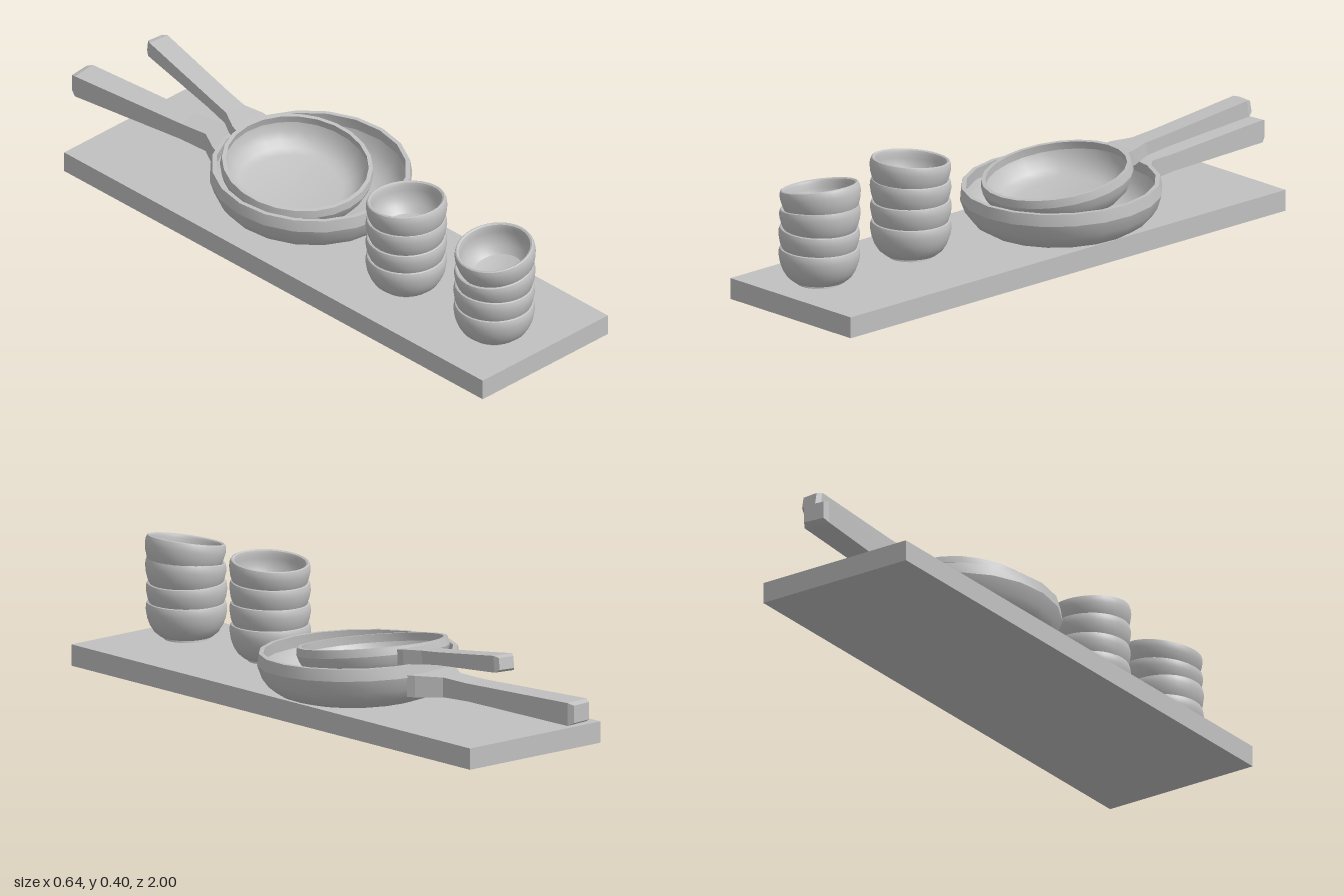
import * as THREE from 'three';
import { toCreasedNormals } from 'three/addons/utils/BufferGeometryUtils.js';

const grey = new THREE.MeshStandardMaterial({ color: 0xc0c0c0 });
grey.name = 'plain grey';

function part(name, geometry, parent) {
  const mesh = new THREE.Mesh(geometry, grey);
  mesh.name = name;
  parent.add(mesh);
  return mesh;
}

// Turned shape from [radius, height] pairs, with sharp edges kept at the rim
function turned(profile, sides) {
  const points = profile.map(([r, y]) => new THREE.Vector2(r, y));
  return toCreasedNormals(new THREE.LatheGeometry(points, sides), 0.45);
}

// Rectangular bar running along -z; sections are [distance, half width, low, high]
function bar(sections) {
  const n = sections.length - 1;
  const box = new THREE.BoxGeometry(1, 1, 1, 1, 1, n);
  const p = box.attributes.position;
  for (let i = 0; i < p.count; i++) {
    const [d, w, low, high] = sections[Math.round((0.5 - p.getZ(i)) * n)];
    p.setXYZ(i, Math.sign(p.getX(i)) * w, p.getY(i) > 0 ? high : low, -d);
  }
  const geometry = box.toNonIndexed();
  geometry.computeVertexNormals();
  return geometry;
}

const BOWL_HEIGHT = 0.116;
const bowlGeometry = turned([
  [0, 0], [0.07, 0], [0.069, 0.006], [0.083, 0.01], [0.1, 0.024], [0.113, 0.045],
  [0.121, 0.067], [0.125, 0.09], [0.124, 0.105], [0.121, 0.114], [0.117, BOWL_HEIGHT],
  [0.111, 0.113], [0.108, 0.104], [0.109, 0.088], [0.105, 0.067], [0.096, 0.043],
  [0.078, 0.023], [0.05, 0.014], [0, 0.012],
], 32);

// Stack of bowls; each entry is [rim height, tilt about x, tilt about z]
function bowlStack(name, x, z, bowls) {
  const stack = new THREE.Group();
  stack.name = name;
  stack.position.set(x, 0, z);
  for (const [rim, tiltX, tiltZ] of bowls) {
    const pivot = new THREE.Group();
    pivot.name = 'bowl';
    pivot.position.y = rim;
    pivot.rotation.set(tiltX, 0, tiltZ);
    part('bowlBody', bowlGeometry, pivot).position.y = -BOWL_HEIGHT;
    stack.add(pivot);
  }
  return stack;
}

export function createModel() {
  const model = new THREE.Group();
  model.name = 'shelfWithCookware';

  // Shelf board
  part('shelf', new THREE.BoxGeometry(0.535, 0.067, 1.83), model).position.set(-0.053, 0.0335, 0.085);

  // Two stacks of bowls
  model.add(bowlStack('frontBowlStack', -0.105, 0.83, [
    [0.183, 0, 0], [0.247, 0, -0.03], [0.314, 0, 0.12], [0.378, 0, 0.18],
  ]));
  model.add(bowlStack('rearBowlStack', -0.105, 0.445, [
    [0.183, 0, 0], [0.248, 0, 0.02], [0.315, -0.04, 0], [0.379, -0.09, 0],
  ]));

  // Large pan, its body leaning slightly forward
  const largePan = new THREE.Group();
  largePan.name = 'largePan';
  largePan.position.set(0.005, 0.07, -0.088);
  part('largePanBody', turned([
    [0, 0], [0.2, 0], [0.245, 0.014], [0.278, 0.036], [0.298, 0.064], [0.312, 0.105],
    [0.306, 0.142], [0.292, 0.142], [0.296, 0.105], [0.283, 0.07], [0.262, 0.042],
    [0.235, 0.025], [0.2, 0.013], [0, 0.013],
  ], 20), largePan).rotation.x = 0.04;
  part('largePanHandle', bar([
    [0.285, 0.1, 0.057, 0.125], [0.31, 0.09, 0.057, 0.125], [0.38, 0.04, 0.06, 0.122],
    [0.48, 0.039, 0.063, 0.119], [0.895, 0.043, 0.053, 0.125], [0.914, 0.034, 0.063, 0.118],
  ]), largePan).rotation.y = 0.108;
  model.add(largePan);

  // Small pan resting inside the large one, propped up at the back
  const smallPan = new THREE.Group();
  smallPan.name = 'smallPan';
  smallPan.position.set(-0.032, 0.128, -0.118);
  smallPan.rotation.set(0.155, 0, 0.035);
  part('smallPanBody', turned([
    [0, 0], [0.155, 0], [0.19, 0.012], [0.213, 0.032], [0.228, 0.058], [0.236, 0.082],
    [0.232, 0.107], [0.219, 0.107], [0.222, 0.082], [0.213, 0.058], [0.196, 0.034],
    [0.175, 0.018], [0.15, 0.011], [0, 0.011],
  ], 24), smallPan);
  part('smallPanHandle', bar([
    [0.222, 0.063, 0.05, 0.098], [0.25, 0.06, 0.05, 0.098], [0.315, 0.035, 0.052, 0.094],
    [0.4, 0.034, 0.052, 0.092], [0.705, 0.035, 0.04, 0.092], [0.722, 0.027, 0.048, 0.085],
  ]), smallPan).rotation.y = -0.12;
  model.add(smallPan);

  return model;
}
